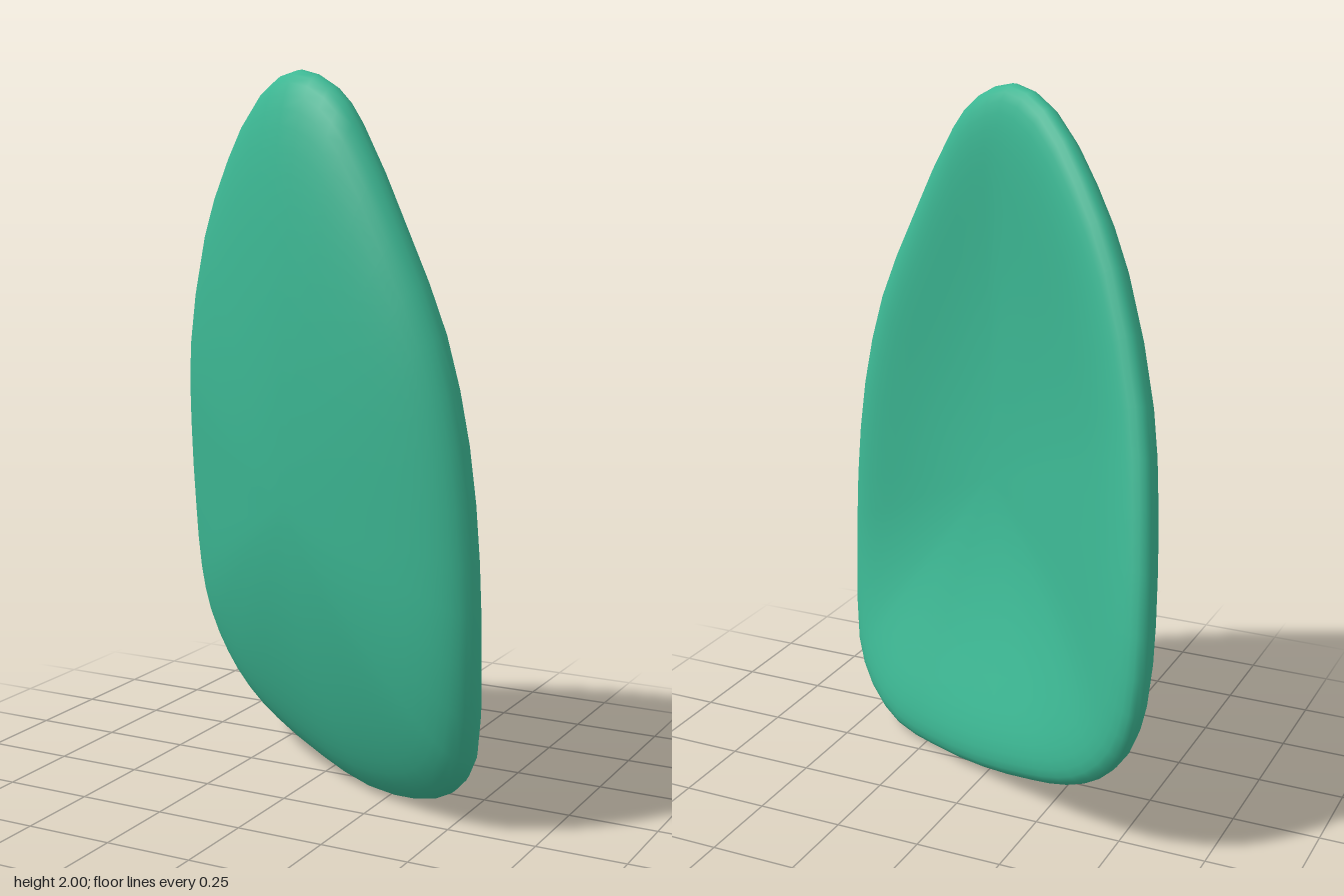
import * as THREE from 'three';
import { mergeVertices } from 'three/addons/utils/BufferGeometryUtils.js';

// Rim of the plate, clockwise from the top as seen from the front
const RIM = [
  [0.02, 2.0, 0.2], [0.14, 1.955, 0.235], [0.225, 1.865, 0.262], [0.38, 1.59, 0.305],
  [0.5, 1.33, 0.325], [0.57, 1.05, 0.332], [0.603, 0.75, 0.335], [0.608, 0.47, 0.33],
  [0.573, 0.2, 0.275], [0.485, 0.08, 0.2], [0.355, 0.018, 0.12], [0.2, 0.003, 0.058],
  [0, 0.028, -0.042], [-0.2, 0.08, -0.142], [-0.34, 0.135, -0.22], [-0.45, 0.21, -0.287],
  [-0.54, 0.32, -0.337], [-0.587, 0.46, -0.36], [-0.598, 0.68, -0.345], [-0.568, 1.0, -0.265],
  [-0.52, 1.25, -0.185], [-0.4, 1.58, -0.07], [-0.27, 1.79, 0.025], [-0.12, 1.95, 0.122],
];
const CENTRE = new THREE.Vector3(0.05, 0.85, 0.245);
const SLOPE_X = 0.42, SLOPE_Y = 0.08; // tilt of the plate at its centre
const HALF_THICKNESS = 0.081;
const AROUND = 48, RINGS = 18;

const rim = new THREE.CatmullRomCurve3(RIM.map((p) => new THREE.Vector3(...p)), true);

// Bulged middle surface: s runs from the centre (0) to the rim (1), t around the rim
function middle(s, t) {
  const d = rim.getPoint((t + 1) % 1).sub(CENTRE);
  const a = SLOPE_X * d.x + SLOPE_Y * d.y;
  return new THREE.Vector3(d.x * s, d.y * s, a * s + (d.z - a) * s * s).add(CENTRE);
}

function normalAt(s, t) {
  if (s < 0.01) return new THREE.Vector3(-SLOPE_X, -SLOPE_Y, 1).normalize();
  const e = 0.002;
  const ds = middle(s + e, t).sub(middle(s - e, t));
  const dt = middle(s, t + e).sub(middle(s, t - e));
  return dt.cross(ds).normalize();
}

function plateGeometry() {
  const positions = [], index = [];
  // Rings run from the front centre, over the rounded rim, to the back centre
  for (let i = 0; i <= 2 * RINGS; i++) {
    const s = Math.sin((i / (2 * RINGS)) * Math.PI);
    const side = Math.sign(RINGS - i);
    const h = side * HALF_THICKNESS * Math.sqrt(Math.max(0, 1 - s ** 10));
    for (let j = 0; j < AROUND; j++) {
      const t = j / AROUND;
      positions.push(...middle(s, t).addScaledVector(normalAt(s, t), h).toArray());
    }
  }
  for (let i = 0; i < 2 * RINGS; i++) {
    for (let j = 0; j < AROUND; j++) {
      const a = i * AROUND + j, b = i * AROUND + ((j + 1) % AROUND);
      const c = a + AROUND, d = b + AROUND;
      index.push(a, b, d, a, d, c);
    }
  }
  const geometry = new THREE.BufferGeometry();
  geometry.setAttribute('position', new THREE.Float32BufferAttribute(positions, 3));
  geometry.setIndex(index);
  // Weld the two centre points so the shading stays smooth
  const welded = mergeVertices(geometry, 1e-5);
  welded.center();
  welded.translate(0, welded.boundingBox.max.y, 0);
  welded.computeVertexNormals();
  return welded;
}

export function createModel() {
  const group = new THREE.Group();
  group.name = 'curvedPlate';
  const material = new THREE.MeshStandardMaterial({ color: 0x3cb793 });
  const plate = new THREE.Mesh(plateGeometry(), material);
  plate.name = 'plateShell';
  group.add(plate);
  return group;
}
